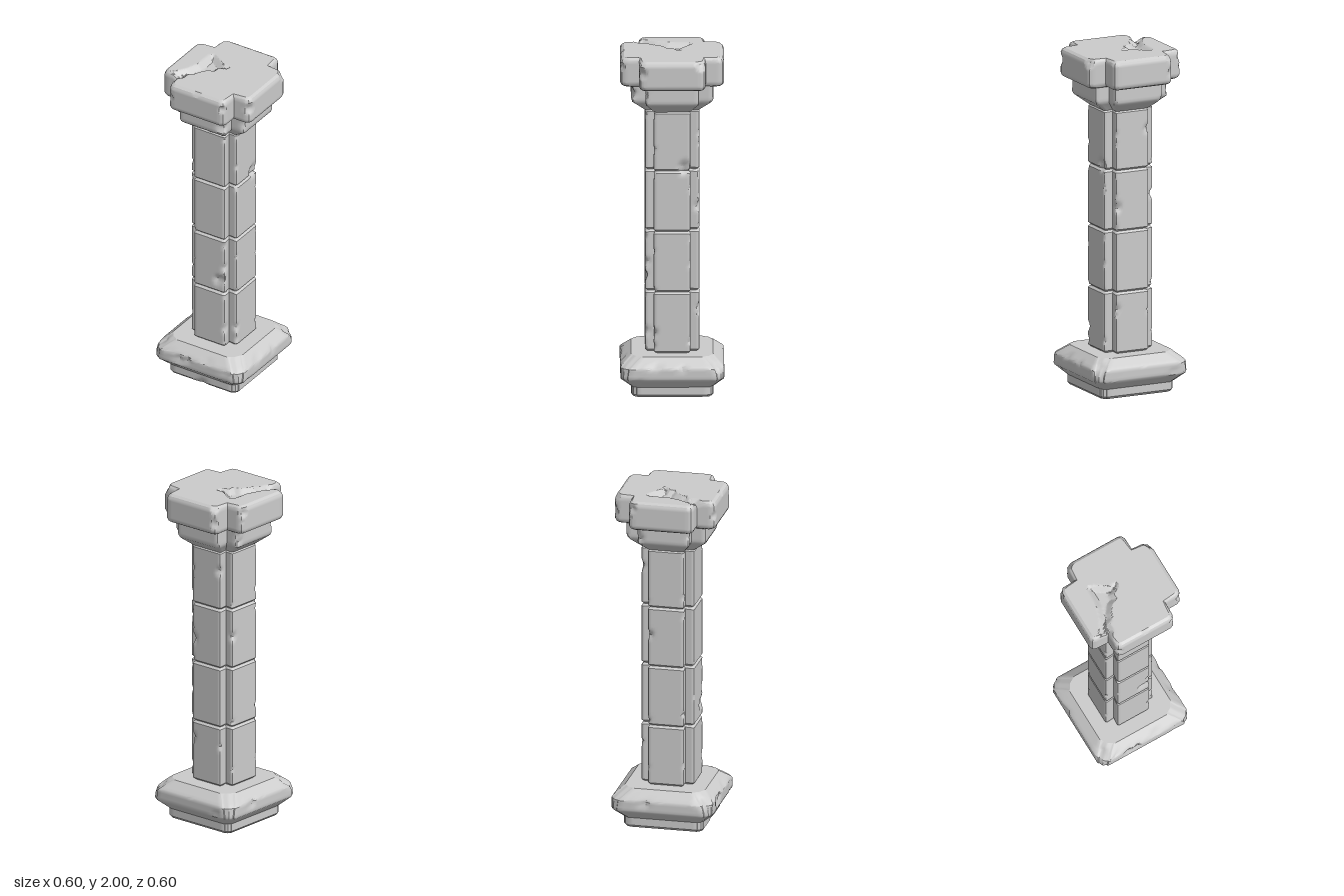
import * as THREE from 'three';
import { toCreasedNormals } from 'three/addons/utils/BufferGeometryUtils.js';

const material = new THREE.MeshStandardMaterial({ color: 0xcccccc, roughness: 0.9 });

// Small seeded random source for the worn edges
let seed = 7;
const rand = () => (seed = (seed * 16807) % 2147483647) / 2147483647;

// One horizontal section: a square with notched corners.
// h = half width, n = half width of each face, c = corner point, r = rounding
function section([y, h, n, c, r], faceSegs) {
  const key = [
    [h, -n + r, faceSegs], [h, n - r, 2], [h - 0.3 * r, n - 0.3 * r, 2], [h - r, n, 4],
    [c, c, 4], [n, h - r, 2], [n - 0.3 * r, h - 0.3 * r, 2], [n - r, h, 0],
  ];
  const points = [];
  for (let q = 0; q < 4; q++) {
    const cos = [1, 0, -1, 0][q], sin = [0, 1, 0, -1][q];
    for (let k = 0; k < key.length - 1; k++) {
      const [ax, az, segs] = key[k], [bx, bz] = key[k + 1];
      for (let s = 0; s < segs; s++) {
        const t = s / segs, x = ax + (bx - ax) * t, z = az + (bz - az) * t;
        points.push([x * cos - z * sin, y, x * sin + z * cos]);
      }
    }
  }
  return points;
}

// Loft through the sections, closed top and bottom, with a rule for wear
function stone(name, profile, { step = 0.018, faceSegs = 16, wear = () => {} } = {}) {
  const first = profile[0], last = profile[profile.length - 1];
  const full = [[first[0], 0, 0, 0, 0], ...profile, [last[0], 0, 0, 0, 0]];
  const rings = [];
  for (let i = 0; i < full.length - 1; i++) {
    const a = full[i], b = full[i + 1];
    const count = Math.ceil(Math.max(Math.abs(b[0] - a[0]), Math.abs(b[1] - a[1])) / step);
    for (let s = 0; s < count; s++) rings.push(a.map((v, k) => v + ((b[k] - v) * s) / count));
  }
  rings.push(full[full.length - 1]);

  const positions = [], index = [];
  const p = new THREE.Vector3();
  let around = 0;
  for (const ring of rings) {
    const points = section(ring, faceSegs);
    around = points.length;
    for (const point of points) {
      p.set(...point);
      wear(p);
      positions.push(p.x, p.y, p.z);
    }
  }
  for (let i = 0; i < rings.length - 1; i++) {
    for (let j = 0; j < around; j++) {
      const a = i * around + j, b = i * around + ((j + 1) % around);
      index.push(a, a + around, b, b, a + around, b + around);
    }
  }
  const geometry = new THREE.BufferGeometry();
  geometry.setAttribute('position', new THREE.Float32BufferAttribute(positions, 3));
  geometry.setIndex(index);
  const mesh = new THREE.Mesh(toCreasedNormals(geometry, 0.55), material);
  mesh.name = name;
  return mesh;
}

// Chips [x, y, z, radius] push the surface in towards the axis
function chipper(chips) {
  const centre = new THREE.Vector3();
  return (p) => {
    for (const [x, y, z, r] of chips) {
      const d = p.distanceTo(centre.set(x, y, z));
      const out = Math.hypot(p.x, p.z);
      if (d < r && out > 0.05) {
        const k = 1 - (0.55 * (r - d)) / out;
        p.x *= k;
        p.z *= k;
      }
    }
  };
}

// Small random chips along the upright edges of a block
function edgeChips(count, h, n, y0, y1, size) {
  return Array.from({ length: count }, () => {
    const a = (rand() < 0.5 ? -1 : 1) * h, b = (rand() < 0.5 ? -1 : 1) * n;
    const y = y0 + (y1 - y0) * rand(), r = size * (0.6 + 0.6 * rand());
    return rand() < 0.5 ? [a, y, b, r] : [b, y, a, r];
  });
}

// Broken channel across the top of the capital, as x,z corners
const gouge = [
  [-0.16, -0.1], [-0.14, -0.12], [-0.09, -0.09], [-0.03, -0.05], [0.01, -0.06], [0.01, -0.03],
  [-0.04, 0.0], [-0.04, 0.035], [-0.08, 0.05], [-0.11, 0.09], [-0.12, 0.12], [-0.15, 0.14],
  [-0.15, 0.19], [-0.19, 0.23], [-0.24, 0.17], [-0.19, 0.09], [-0.165, 0.02],
];
function gougeDepth(x, z) {
  let inside = false, nearest = 1;
  gouge.forEach(([ax, az], i) => {
    const [bx, bz] = gouge[(i + 1) % gouge.length];
    if (az > z !== bz > z && x < ax + ((bx - ax) * (z - az)) / (bz - az)) inside = !inside;
    const dx = bx - ax, dz = bz - az;
    const t = THREE.MathUtils.clamp(((x - ax) * dx + (z - az) * dz) / (dx * dx + dz * dz), 0, 1);
    nearest = Math.min(nearest, Math.hypot(x - ax - t * dx, z - az - t * dz));
  });
  return inside ? Math.min(0.03, nearest * 0.9) : 0;
}

export function createModel() {
  seed = 7;
  const column = new THREE.Group();
  column.name = 'column';

  // Base: a low plinth flaring into a wide bevelled slab
  const baseChips = [
    [-0.12, 0.16, 0.31, 0.045], [-0.06, 0.17, 0.3, 0.03], [0.07, 0.2, 0.29, 0.03],
    [0, 0.01, 0.24, 0.035], [0.3, 0.2, 0.1, 0.04], [0.29, 0.18, -0.06, 0.03],
    [-0.27, 0.2, 0.24, 0.05], [0.27, 0.2, -0.26, 0.05], [-0.3, 0.17, -0.1, 0.035],
    ...edgeChips(8, 0.29, 0.2, 0.1, 0.22, 0.025),
  ];
  column.add(stone('base', [
    [0, 0.222, 0.2, 0.213, 0.005],
    [0.015, 0.235, 0.205, 0.222, 0.005],
    [0.06, 0.235, 0.205, 0.222, 0.005],
    [0.115, 0.295, 0.255, 0.277, 0.008],
    [0.125, 0.298, 0.258, 0.28, 0.008],
    [0.18, 0.298, 0.25, 0.276, 0.008],
    [0.19, 0.292, 0.24, 0.268, 0.008],
    [0.24, 0.235, 0.18, 0.21, 0.008],
  ], { wear: chipper(baseChips) }));

  // Shaft: four blocks with bevelled joints and notched corners
  const shaftChips = [
    [0.06, 0.68, 0.16, 0.04], [0.09, 0.69, 0.16, 0.035], [0.11, 0.77, 0.15, 0.035],
    [0.12, 0.36, 0.15, 0.04], [0.16, 1.34, -0.07, 0.05], [0.155, 0.68, 0.14, 0.03],
    [0.155, 0.36, 0.11, 0.035], [-0.155, 1.15, -0.1, 0.035], [-0.1, 1.55, -0.155, 0.035],
    [0.1, 1.1, -0.155, 0.04], [0.1, 0.5, -0.155, 0.03],
  ];
  const joints = [0.24, 0.6, 0.96, 1.318, 1.672];
  for (let i = 0; i < 4; i++) {
    const y0 = joints[i], y1 = joints[i + 1];
    const wear = chipper([...shaftChips, ...edgeChips(9, 0.155, 0.105, y0, y1, 0.02)]);
    column.add(stone(`shaftBlock${i + 1}`, [
      [y0, 0.143, 0.095, 0.09, 0.01],
      [y0 + 0.012, 0.156, 0.106, 0.102, 0.01],
      [y1 - 0.012, 0.156, 0.106, 0.102, 0.01],
      [y1, 0.143, 0.095, 0.09, 0.01],
    ], { wear }));
  }

  // Neck: notched block tapering down onto the shaft
  const neckChips = [
    [0.14, 1.78, 0.235, 0.045], [0.235, 1.79, 0.18, 0.045], [-0.235, 1.76, -0.14, 0.035],
    ...edgeChips(6, 0.235, 0.15, 1.7, 1.82, 0.022),
  ];
  column.add(stone('neck', [
    [1.67, 0.155, 0.105, 0.1, 0.01],
    [1.728, 0.23, 0.15, 0.147, 0.015],
    [1.742, 0.236, 0.154, 0.15, 0.015],
    [1.835, 0.236, 0.154, 0.15, 0.015],
  ], { wear: chipper(neckChips) }));

  // Capital slab: notched corners, rounded rims and a broken top
  const slabChips = chipper([
    [0.295, 1.93, 0.18, 0.04], [-0.18, 1.99, -0.29, 0.035], [0.29, 1.98, -0.17, 0.04],
    [-0.3, 1.96, -0.17, 0.035], [0.0, 2.0, 0.3, 0.025],
    ...edgeChips(8, 0.298, 0.18, 1.85, 1.98, 0.025),
  ]);
  column.add(stone('capitalSlab', [
    [1.828, 0.275, 0.172, 0.17, 0.02],
    [1.836, 0.29, 0.184, 0.184, 0.028],
    [1.852, 0.298, 0.19, 0.192, 0.03],
    [1.972, 0.298, 0.19, 0.192, 0.03],
    [1.99, 0.29, 0.184, 0.188, 0.028],
    [2, 0.275, 0.172, 0.18, 0.02],
  ], {
    step: 0.01,
    faceSegs: 32,
    wear: (p) => {
      slabChips(p);
      if (p.y > 1.9) p.y -= gougeDepth(p.x, p.z) * ((p.y - 1.9) / 0.1);
    },
  }));

  return column;
}
